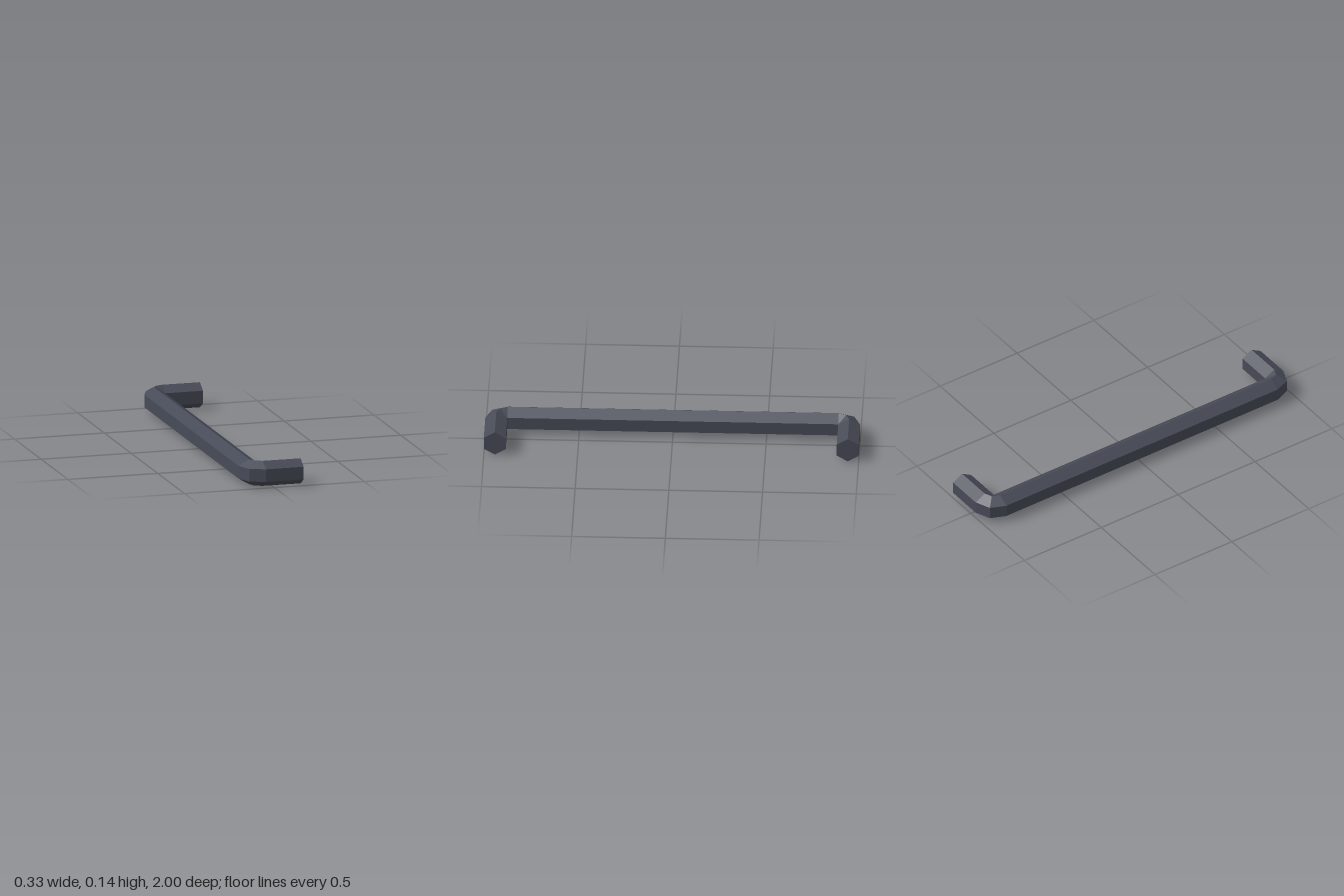
import * as THREE from 'three';

// Hexagonal section: [distance outward from the inner edge, height]
const HEX = [[0, 0.034], [0, 0.103], [0.0585, 0.137], [0.117, 0.103], [0.117, 0.034], [0.0585, 0]];
const INNER_X = -0.047, INNER_Z = 0.883, END_X = 0.163;

// One section, standing on the inner edge at (x, z) and facing outward along angle
function ring(x, z, degrees) {
  const a = THREE.MathUtils.degToRad(degrees);
  return HEX.map(([r, y]) => new THREE.Vector3(x + r * Math.cos(a), y, z + r * Math.sin(a)));
}

function barGeometry(rings) {
  const positions = [];
  const tri = (a, b, c) => {
    // skip the collapsed faces at the inner corners
    if (new THREE.Triangle(a, b, c).getArea() < 1e-7) return;
    for (const p of [a, b, c]) positions.push(p.x, p.y, p.z);
  };
  // sides
  for (let i = 0; i < rings.length - 1; i++) {
    for (let k = 0; k < 6; k++) {
      const n = (k + 1) % 6;
      tri(rings[i][k], rings[i][n], rings[i + 1][n]);
      tri(rings[i][k], rings[i + 1][n], rings[i + 1][k]);
    }
  }
  // flat end caps
  const first = rings[0], last = rings[rings.length - 1];
  for (let k = 1; k < 5; k++) {
    tri(first[0], first[k + 1], first[k]);
    tri(last[0], last[k], last[k + 1]);
  }
  const geometry = new THREE.BufferGeometry();
  geometry.setAttribute('position', new THREE.Float32BufferAttribute(positions, 3));
  geometry.computeVertexNormals();
  return geometry;
}

export function createModel() {
  const group = new THREE.Group();
  group.name = 'pullHandle';

  const darkMetal = new THREE.MeshStandardMaterial({ color: 0x474b57, flatShading: true });
  darkMetal.name = 'dark metal';

  // back leg, back bend, long grip, front bend, front leg
  const rings = [ring(END_X, -INNER_Z, 270)];
  for (const angle of [270, 225, 180]) rings.push(ring(INNER_X, -INNER_Z, angle));
  for (const angle of [180, 135, 90]) rings.push(ring(INNER_X, INNER_Z, angle));
  rings.push(ring(END_X, INNER_Z, 90));

  const handle = new THREE.Mesh(barGeometry(rings), darkMetal);
  handle.name = 'hexagonalBar';
  group.add(handle);
  return group;
}
